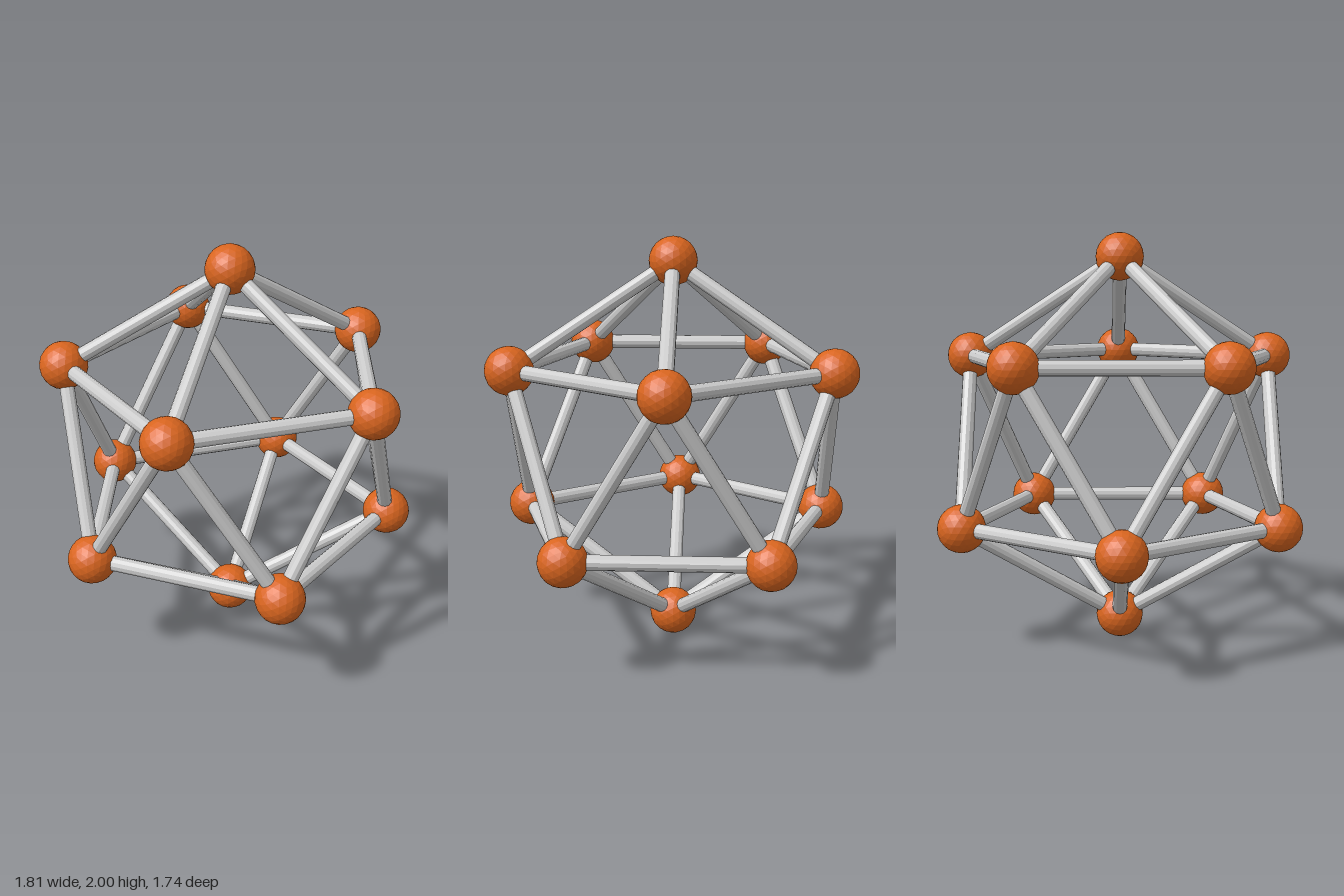
import * as THREE from 'three';

const RADIUS = 0.884;   // centre to joint
const BALL = 0.116;
const ROD = 0.036;

export function createModel() {
  const model = new THREE.Group();
  model.name = 'icosahedronFrame';
  const orange = new THREE.MeshStandardMaterial({ color: 0xd9651f, flatShading: true });
  orange.name = 'orange';
  const grey = new THREE.MeshStandardMaterial({ color: 0xcccccc, flatShading: true });
  grey.name = 'light grey';

  // Joint positions: two poles and two staggered rings of five
  const joints = [new THREE.Vector3(0, RADIUS, 0), new THREE.Vector3(0, -RADIUS, 0)];
  const ringY = RADIUS / Math.sqrt(5);
  for (let i = 0; i < 10; i++) {
    const a = i * Math.PI / 5;
    joints.push(new THREE.Vector3(
      2 * ringY * Math.cos(a), i % 2 ? -ringY : ringY, 2 * ringY * Math.sin(a)));
  }

  // Faceted balls
  const ballGeometry = new THREE.IcosahedronGeometry(BALL, 3);
  joints.forEach((p, i) => {
    const ball = new THREE.Mesh(ballGeometry, orange);
    ball.name = `jointBall${i + 1}`;
    ball.position.copy(p);
    model.add(ball);
  });

  // Rods between neighbouring joints
  const edge = RADIUS / Math.sin(2 * Math.PI / 5);
  const rodLength = edge / 1 * 1.0 * (2 * Math.sin(2 * Math.PI / 5) / Math.sqrt(Math.sin(2 * Math.PI / 5) ** 2 * 4)) ;
  const rodGeometry = new THREE.CylinderGeometry(ROD, ROD, rodLength, 12);
  const up = new THREE.Vector3(0, 1, 0);
  let count = 0;
  joints.forEach((a, i) => joints.slice(i + 1).forEach((b) => {
    if (a.distanceTo(b) > edge * 1.1) return;
    const rod = new THREE.Mesh(rodGeometry, grey);
    rod.name = `rod${++count}`;
    rod.position.lerpVectors(a, b, 0.5);
    rod.quaternion.setFromUnitVectors(up, b.clone().sub(a).normalize());
    model.add(rod);
  }));

  model.position.y = 1;
  return model;
}
